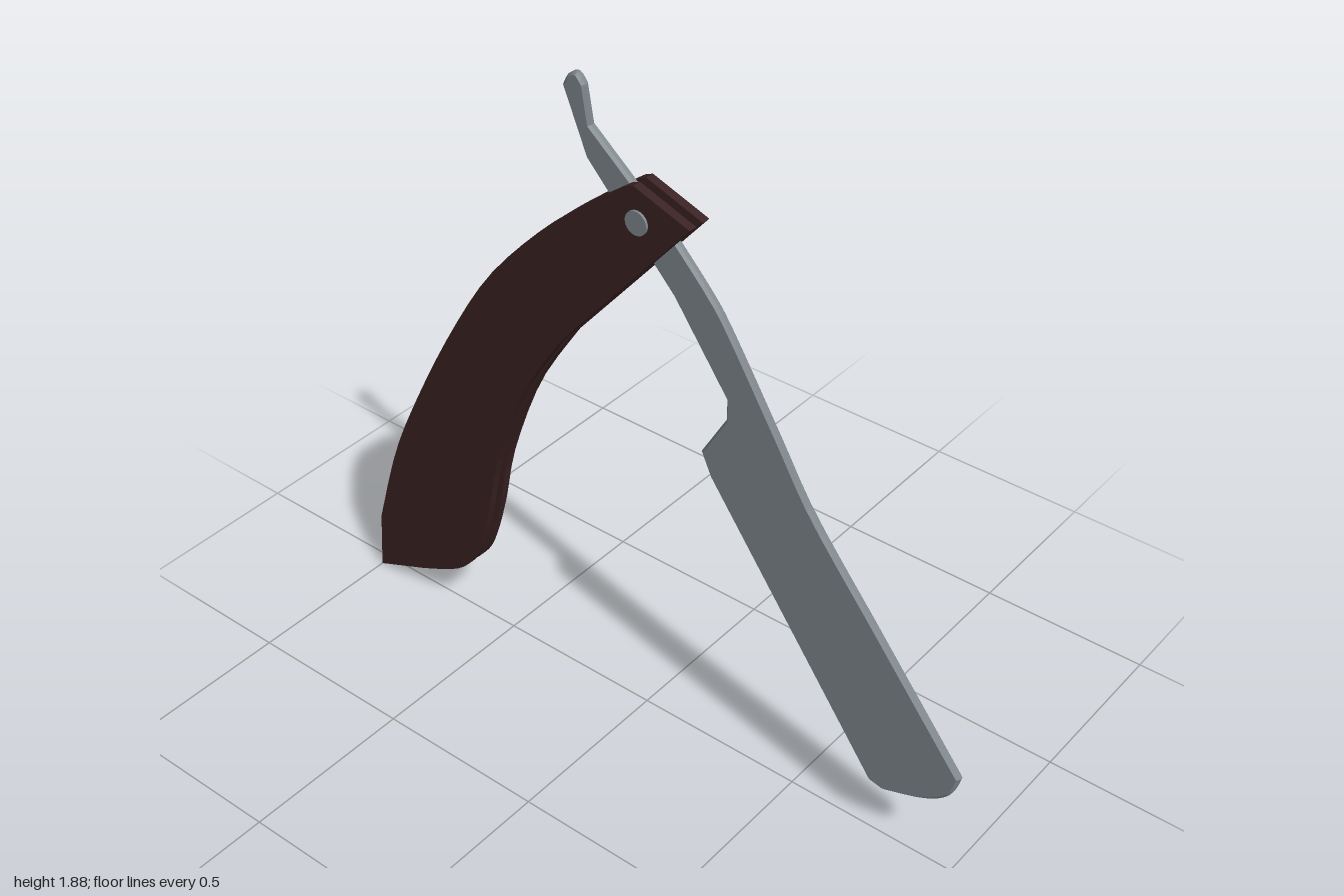
import * as THREE from 'three';

const steel = new THREE.MeshStandardMaterial({ color: 0x7e868b });
steel.name = 'steel';
const wood = new THREE.MeshStandardMaterial({ color: 0x3a2122 });
wood.name = 'darkWood';

// Each run is a list of [z, y] points; runs of three or more become smooth curves.
function outline(runs) {
  const shape = new THREE.Shape();
  runs.forEach((run, i) => {
    const pts = run.map(([z, y]) => new THREE.Vector2(z, y));
    if (i === 0) shape.moveTo(pts[0].x, pts[0].y);
    else shape.lineTo(pts[0].x, pts[0].y);
    if (pts.length > 2) shape.splineThru(pts.slice(1));
    else if (pts.length === 2) shape.lineTo(pts[1].x, pts[1].y);
  });
  return shape;
}

// Plate standing in the z-y plane, centred on x = 0, with chamfered rims.
function plate(shape, thickness, bevel, curveSegments) {
  const geo = new THREE.ExtrudeGeometry(shape, {
    depth: thickness - 2 * bevel, curveSegments,
    bevelEnabled: bevel > 0, bevelThickness: bevel, bevelSize: bevel,
    bevelOffset: -bevel, bevelSegments: 1,
  });
  geo.translate(0, 0, -(thickness - 2 * bevel) / 2);
  return geo.rotateY(-Math.PI / 2);
}

export function createModel() {
  const model = new THREE.Group();
  model.name = 'foldingRazor';
  const add = (name, geo, mat, x = 0, y = 0, z = 0) => {
    const mesh = new THREE.Mesh(geo, mat);
    mesh.name = name;
    mesh.position.set(x, y, z);
    model.add(mesh);
    return mesh;
  };

  // Blade with shank and curled tail
  const bladeShape = outline([
    [[1, 0.33], [0.975, 0.26], [0.905, 0.205], [0.785, 0.16]],
    [[0.74, 0.17]],
    [[0.21, 0.895], [0.18, 0.96]],
    [[0.255, 1.09], [0.255, 1.15]],
    [[0.09, 1.38], [0, 1.475]],
    [[-0.11, 1.59], [-0.18, 1.665]],
    [[-0.25, 1.835], [-0.232, 1.868], [-0.205, 1.88], [-0.182, 1.855]],
    [[-0.165, 1.755], [-0.045, 1.655]],
    [[0.1, 1.53], [0.195, 1.43], [0.26, 1.345], [0.41, 1.105], [0.525, 0.92], [0.71, 0.69]],
  ]);
  add('blade', plate(bladeShape, 0.025, 0.007, 3), steel);

  // Two matching handle scales either side of the blade
  const scaleShape = outline([
    [[0.157, 1.6], [-0.012, 1.66]],
    [[-0.035, 1.65], [-0.16, 1.555], [-0.31, 1.425], [-0.495, 1.22], [-0.65, 0.975],
      [-0.795, 0.7], [-0.9, 0.465], [-0.985, 0.19]],
    [[-1, 0]],
    [[-0.82, 0.075], [-0.69, 0.14], [-0.62, 0.205], [-0.58, 0.29], [-0.54, 0.43],
      [-0.495, 0.63], [-0.39, 0.9], [-0.25, 1.125]],
  ]);
  const scaleGeo = plate(scaleShape, 0.025, 0, 3);
  add('leftHandleScale', scaleGeo, wood, 0.0245);
  add('rightHandleScale', scaleGeo, wood, -0.0245);

  // Pivot pin through scales and blade
  const pin = new THREE.CylinderGeometry(0.033, 0.033, 0.088, 20).rotateZ(Math.PI / 2);
  add('pivotPin', pin, steel, 0, 1.565, 0);

  return model;
}
